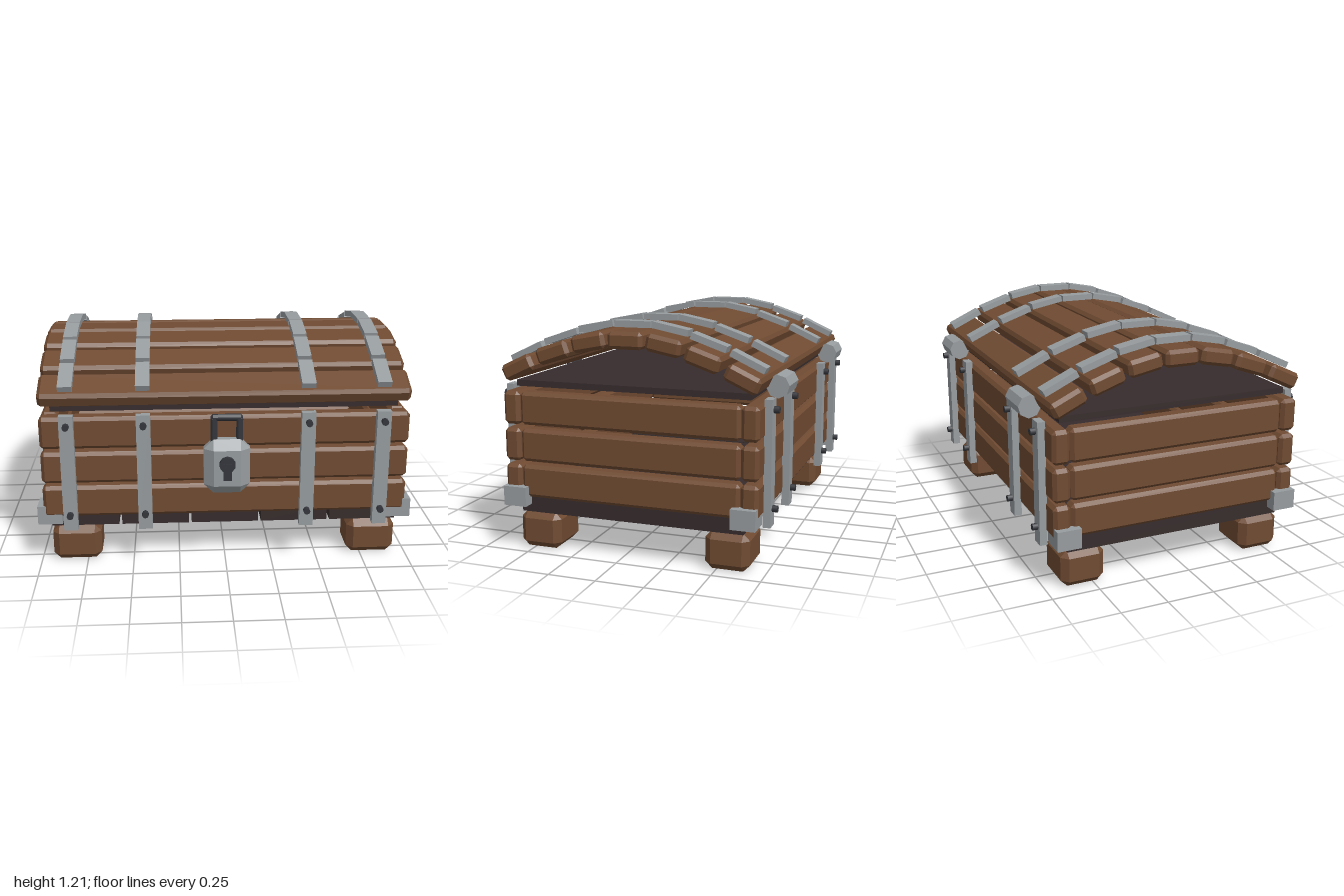
import * as THREE from 'three';
import { ConvexGeometry } from 'three/addons/geometries/ConvexGeometry.js';

const mat = (name, color) => {
  const m = new THREE.MeshStandardMaterial({ color });
  m.name = name;
  return m;
};

// Box with all edges and corners cut; c is the cut per axis
function chamferBox(w, h, d, cx, cy = cx, cz = cx) {
  const [x, y, z] = [w / 2, h / 2, d / 2];
  const pts = [];
  for (const i of [-1, 1]) for (const j of [-1, 1]) for (const k of [-1, 1]) {
    pts.push(
      new THREE.Vector3(i * x, j * (y - cy), k * (z - cz)),
      new THREE.Vector3(i * (x - cx), j * y, k * (z - cz)),
      new THREE.Vector3(i * (x - cx), j * (y - cy), k * z));
  }
  return new ConvexGeometry(pts);
}

export function createModel() {
  const root = new THREE.Group();
  root.name = 'chest';
  const wood = mat('brown wood', 0x704b32);
  const darkWood = mat('dark wood', 0x372c2d);
  const steel = mat('grey steel', 0x979c9f);
  const iron = mat('dark iron', 0x34363c);

  const group = (name) => {
    const g = new THREE.Group();
    g.name = name;
    root.add(g);
    return g;
  };
  const add = (parent, name, geo, material, x, y, z) => {
    const m = new THREE.Mesh(geo, material);
    m.name = name;
    m.position.set(x, y, z);
    parent.add(m);
    return m;
  };
  const midZ = -0.045;
  const strapXs = [-0.822, -0.428, 0.428, 0.822];

  // Feet
  const feet = group('feet');
  const footGeo = chamferBox(0.262, 0.195, 0.23, 0.035);
  for (const x of [-0.805, 0.805]) for (const z of [0.465, -0.555])
    add(feet, 'foot', footGeo, wood, x, 0.0975, z);

  // Floor boards running front to back
  const floor = group('floor');
  const boardGeo = new THREE.BoxGeometry(0.362, 0.09, 1.2);
  for (let i = -2; i <= 2; i++)
    add(floor, 'floorBoard', boardGeo, darkWood, i * 0.378, 0.245, midZ);

  // Wall planks in three courses
  const walls = group('walls');
  const longGeo = chamferBox(1.935, 0.172, 0.09, 0.018);
  const shortGeo = chamferBox(0.09, 0.172, 1.17, 0.018);
  for (const y of [0.37, 0.56, 0.752]) {
    add(walls, 'frontPlank', longGeo, wood, 0, y, 0.588);
    add(walls, 'backPlank', longGeo, wood, 0, y, -0.677);
    for (const x of [-0.92, 0.92])
      add(walls, 'sidePlank', shortGeo, wood, x, y, midZ);
  }

  // Inner panel under the lid
  add(root, 'innerPanel', new THREE.BoxGeometry(1.82, 0.032, 1.247), darkWood, 0, 0.875, -0.043);

  // Upright straps with two rivets each
  const straps = group('wallStraps');
  const strapGeo = new THREE.BoxGeometry(0.074, 0.635, 0.04);
  const rivetGeo = new THREE.CylinderGeometry(0.018, 0.018, 0.05, 8).rotateX(Math.PI / 2);
  for (const x of strapXs) for (const s of [1, -1]) {
    const z = s > 0 ? 0.65 : -0.738;
    add(straps, 'wallStrap', strapGeo, steel, x, 0.54, z);
    for (const y of [0.313, 0.805])
      add(straps, 'rivet', rivetGeo, iron, x, y, z + s * 0.022);
  }

  // Corner brackets
  const brackets = group('cornerBrackets');
  const bracketGeo = new THREE.BoxGeometry(0.13, 0.102, 0.126);
  for (const x of [-0.935, 0.935]) for (const z of [0.565, -0.656])
    add(brackets, 'cornerBracket', bracketGeo, steel, x, 0.293, z);

  // Arched lid: seven tilted planks, each with four strap pieces
  const lid = group('lid');
  const lidGeo = chamferBox(1.935, 0.087, 0.182, 0.018);
  const lidStrapGeo = new THREE.BoxGeometry(0.074, 0.033, 0.19);
  const heights = [1.121, 1.104, 1.045, 0.961];
  const tilts = [0, 11, 19, 25];
  for (let i = -3; i <= 3; i++) {
    const k = Math.abs(i);
    const z = -0.043 + i * 0.197;
    const tilt = Math.sign(i) * THREE.MathUtils.degToRad(tilts[k]);
    add(lid, 'lidPlank', lidGeo, wood, 0, heights[k], z).rotation.x = tilt;
    for (const x of strapXs)
      add(lid, 'lidStrap', lidStrapGeo, steel, x, heights[k] + 0.071, z).rotation.x = tilt;
  }

  // Hinges
  const hinges = group('hinges');
  const hingeGeo = new THREE.CylinderGeometry(0.059, 0.059, 0.2, 8).toNonIndexed();
  hingeGeo.computeVertexNormals();
  hingeGeo.rotateZ(Math.PI / 2).rotateX(0.1);
  for (const x of [-0.638, 0.638])
    add(hinges, 'hinge', hingeGeo, steel, x, 0.902, -0.752);

  // Padlock: body, shackle and keyhole
  const lock = group('padlock');
  add(lock, 'lockBody', chamferBox(0.24, 0.295, 0.115, 0.05, 0.05, 0.04), steel, 0, 0.59, 0.698);
  const legGeo = chamferBox(0.034, 0.16, 0.038, 0.009);
  for (const x of [-0.066, 0.066])
    add(lock, 'shackleLeg', legGeo, iron, x, 0.775, 0.697);
  add(lock, 'shackleTop', chamferBox(0.166, 0.034, 0.038, 0.012), iron, 0, 0.85, 0.697);
  const holeGeo = new THREE.CylinderGeometry(0.042, 0.042, 0.03, 10).rotateX(Math.PI / 2);
  add(lock, 'keyholeDisc', holeGeo, iron, 0, 0.617, 0.762);
  add(lock, 'keyholeSlot', new THREE.BoxGeometry(0.042, 0.09, 0.035), iron, 0, 0.58, 0.766);

  return root;
}
